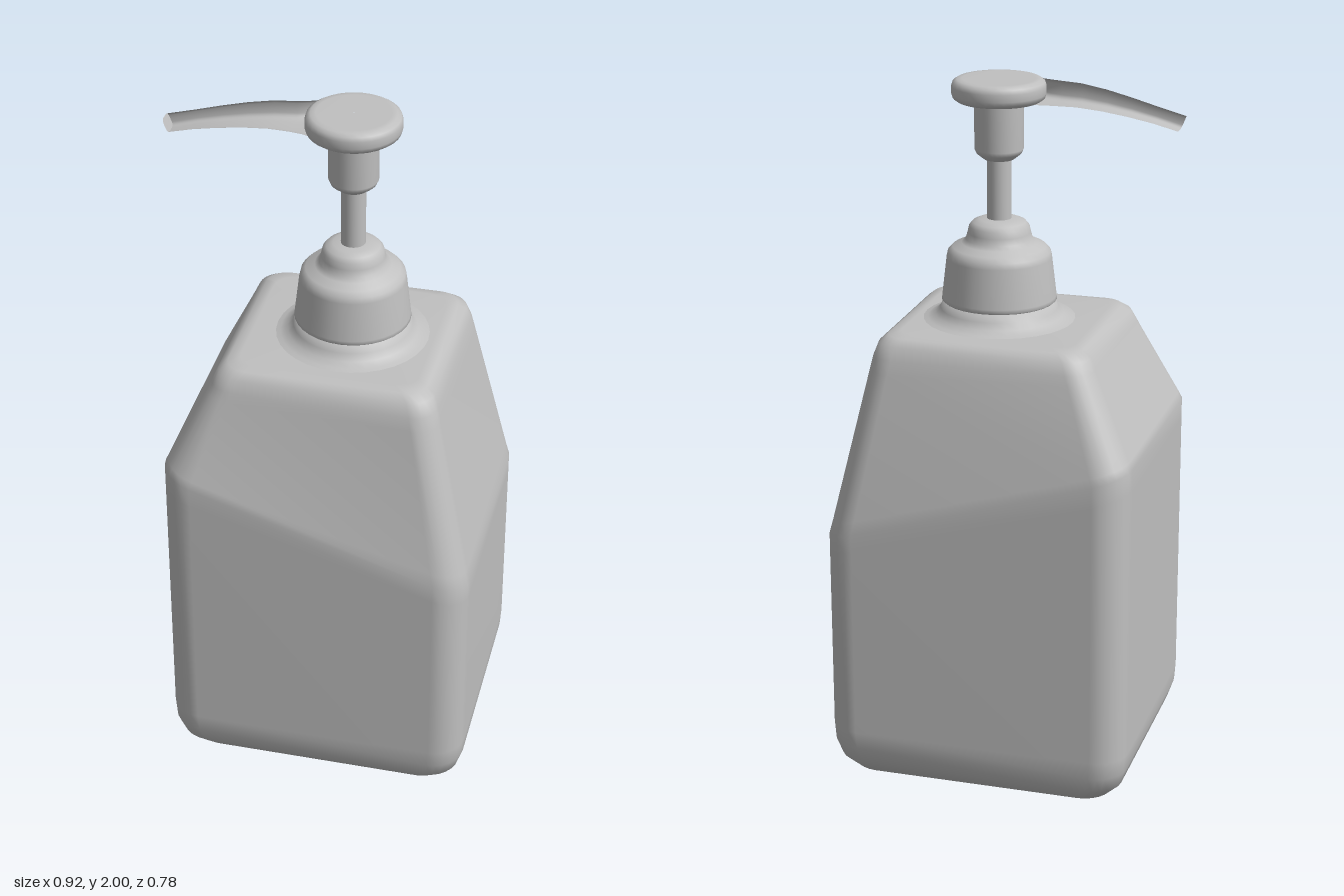
import * as THREE from 'three';

const AXIS_X = 0.055; // pump axis

// Skin a list of equal-length rings, each counter-clockwise as seen from the end of the loft
function loft(rings) {
  const n = rings[0].length, index = [];
  for (let i = 0; i < rings.length - 1; i++) {
    for (let j = 0; j < n; j++) {
      const a = i * n + j, b = i * n + (j + 1) % n;
      index.push(a, b, a + n, b, b + n, a + n);
    }
  }
  const geo = new THREE.BufferGeometry().setFromPoints(rings.flat());
  geo.setIndex(index);
  geo.computeVertexNormals();
  return geo;
}

// Rounded rectangle ring whose height slopes from yL (right side) to yR (left side)
function bottleRing([xL, xR, hz, yL, yR, r]) {
  const pts = [], steps = 6, cx = (xL + xR) / 2, hx = (xR - xL) / 2;
  const corners = [[1, -1], [-1, -1], [-1, 1], [1, 1]];
  corners.forEach(([sx, sz], c) => {
    for (let k = 0; k <= steps; k++) {
      const a = (c + k / steps) * Math.PI / 2;
      const x = cx + sx * (hx - r) + r * Math.cos(a);
      const z = sz * (hz - r) - r * Math.sin(a);
      const t = (x - xL) / (xR - xL);
      pts.push(new THREE.Vector3(x, yL + (yR - yL) * t, z));
    }
  });
  return pts;
}

// Spout section in the yz plane, a soft-cornered box
function spoutRing([x, low, high, hw, slant = 0]) {
  const pts = [], n = 24, p = 0.55;
  const soft = v => Math.sign(v) * Math.abs(v) ** p;
  for (let k = 0; k < n; k++) {
    const a = k / n * Math.PI * 2;
    const s = soft(Math.sin(a));
    pts.push(new THREE.Vector3(x - slant * s, (low + high) / 2 + (high - low) / 2 * s, hw * soft(Math.cos(a))));
  }
  return pts.reverse();
}

export function createModel() {
  const model = new THREE.Group();
  const grey = new THREE.MeshStandardMaterial({ color: 0xc0c0c0 });
  grey.name = 'plain grey';

  const add = (name, geo, parent = model) => {
    const mesh = new THREE.Mesh(geo, grey);
    mesh.name = name;
    parent.add(mesh);
    return mesh;
  };
  const turned = (name, profile) => {
    const pts = profile.map(([r, y]) => new THREE.Vector2(r, y));
    add(name, new THREE.LatheGeometry(pts, 32)).position.x = AXIS_X;
  };

  // Bottle: xL, xR, half depth, yL, yR, corner radius
  const rows = [
    [0.02, 0.04, 0.01, 0, 0, 0.005],
    [-0.26, 0.32, 0.25, 0, 0, 0.06],
    [-0.30, 0.36, 0.29, 0.005, 0.005, 0.07],
    [-0.35, 0.41, 0.338, 0.03, 0.03, 0.08],
    [-0.385, 0.442, 0.372, 0.07, 0.07, 0.085],
    [-0.402, 0.458, 0.387, 0.12, 0.12, 0.09],
    [-0.405, 0.461, 0.39, 0.17, 0.17, 0.09],
    [-0.405, 0.461, 0.39, 0.96, 0.70, 0.09],
    [-0.405, 0.461, 0.39, 1.02, 0.75, 0.09],
    [-0.396, 0.451, 0.383, 1.04, 0.79, 0.088],
    [-0.295, 0.354, 0.308, 1.245, 1.225, 0.07],
    [-0.283, 0.345, 0.300, 1.27, 1.265, 0.068],
    [-0.268, 0.332, 0.286, 1.302, 1.302, 0.065],
    [-0.245, 0.31, 0.264, 1.32, 1.32, 0.06],
    [-0.215, 0.28, 0.235, 1.325, 1.325, 0.055],
    [0.02, 0.04, 0.01, 1.325, 1.325, 0.005],
  ];
  add('bottle', loft(rows.map(bottleRing)));

  // Neck flare where the bottle meets the collar
  turned('neckFlare', [[0.225, 1.322], [0.20, 1.328], [0.18, 1.338], [0.165, 1.355], [0.155, 1.38], [0.12, 1.385]]);

  // Screw collar with a stepped dome
  turned('collar', [
    [0.13, 1.375], [0.155, 1.375], [0.161, 1.38], [0.16, 1.39], [0.147, 1.5], [0.143, 1.517], [0.13, 1.53],
    [0.105, 1.541], [0.093, 1.552], [0.088, 1.57], [0.084, 1.588], [0.074, 1.6], [0.055, 1.608], [0.03, 1.61],
  ]);

  // Pump stem and head
  turned('stem', [[0.034, 1.59], [0.034, 1.80]]);
  turned('headSleeve', [
    [0.03, 1.775], [0.042, 1.777], [0.062, 1.793], [0.068, 1.806], [0.068, 1.93], [0.072, 1.945],
  ]);
  turned('headDisc', [
    [0.001, 1.938], [0.1, 1.938], [0.115, 1.94], [0.126, 1.948], [0.13, 1.96],
    [0.13, 1.98], [0.126, 1.992], [0.115, 1.999], [0.1, 2], [0.001, 2],
  ]);

  // Spout: x, underside, top, half width, tip slant
  const sections = [
    [0.02, 1.941, 1.999, 0.10],
    [-0.025, 1.94, 1.999, 0.088],
    [-0.05, 1.94, 1.999, 0.07],
    [-0.075, 1.939, 1.999, 0.057],
    [-0.11, 1.938, 1.998, 0.048],
    [-0.17, 1.937, 1.995, 0.042],
    [-0.24, 1.93, 1.983, 0.037],
    [-0.31, 1.919, 1.966, 0.033],
    [-0.38, 1.905, 1.947, 0.029],
    [-0.455, 1.887, 1.926, 0.025, 0.008],
  ];
  const spout = new THREE.Group();
  spout.name = 'spout';
  model.add(spout);
  add('spoutArm', loft(sections.map(spoutRing)), spout);
  const tip = sections[sections.length - 1];
  add('spoutTip', loft([spoutRing(tip), spoutRing([-0.455, 1.906, 1.907, 0.001])]), spout);

  return model;
}
